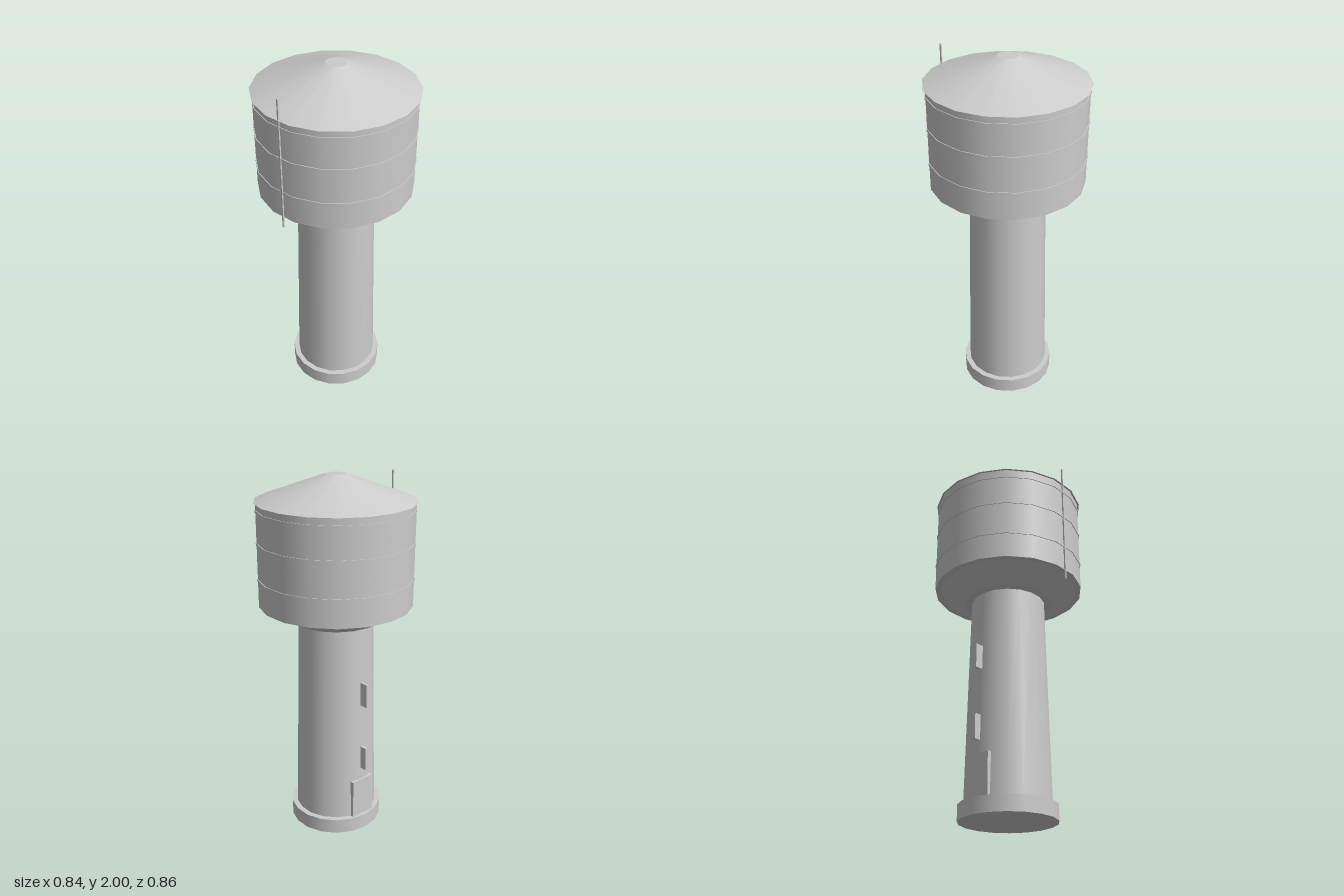
import * as THREE from 'three';

const SIDES = 18;

export function createModel() {
  const group = new THREE.Group();
  const concrete = new THREE.MeshStandardMaterial({ color: 0xcccccc });
  concrete.name = 'concrete grey';

  const add = (name, geometry, x, y, z) => {
    const mesh = new THREE.Mesh(geometry, concrete);
    mesh.name = name;
    mesh.position.set(x, y, z);
    group.add(mesh);
  };

  // Upright faceted drum or cone between two heights
  const drum = (name, rBottom, rTop, y0, y1) =>
    add(name, new THREE.CylinderGeometry(rTop, rBottom, y1 - y0, SIDES), 0, (y0 + y1) / 2, 0);

  // Box given by its lower and upper corners
  const block = (name, [x0, y0, z0], [x1, y1, z1]) =>
    add(name, new THREE.BoxGeometry(x1 - x0, y1 - y0, z1 - z0),
      (x0 + x1) / 2, (y0 + y1) / 2, (z0 + z1) / 2);

  // Plinth, tapering shaft, flared collar, tank and roof
  drum('base', 0.26, 0.26, 0, 0.085);
  drum('shaft', 0.23, 0.206, 0.085, 1.23);
  drum('collar', 0.25, 0.385, 1.23, 1.31);
  drum('tank', 0.417, 0.417, 1.31, 1.865);
  drum('roof', 0.428, 0.055, 1.865, 2);

  // Thin hoops around the tank
  for (const y of [1.458, 1.652, 1.822]) drum('tankBand', 0.421, 0.421, y - 0.006, y + 0.006);

  // Door and narrow projecting windows on the back
  block('door', [-0.075, 0.085, -0.235], [0.075, 0.31, -0.17]);
  for (const y of [0.38, 0.77]) block('window', [-0.008, y, -0.26], [0.008, y + 0.135, -0.18]);

  // Rod beside the tank
  block('antenna', [-0.419, 1.25, -0.004], [-0.411, 1.975, 0.004]);

  return group;
}
